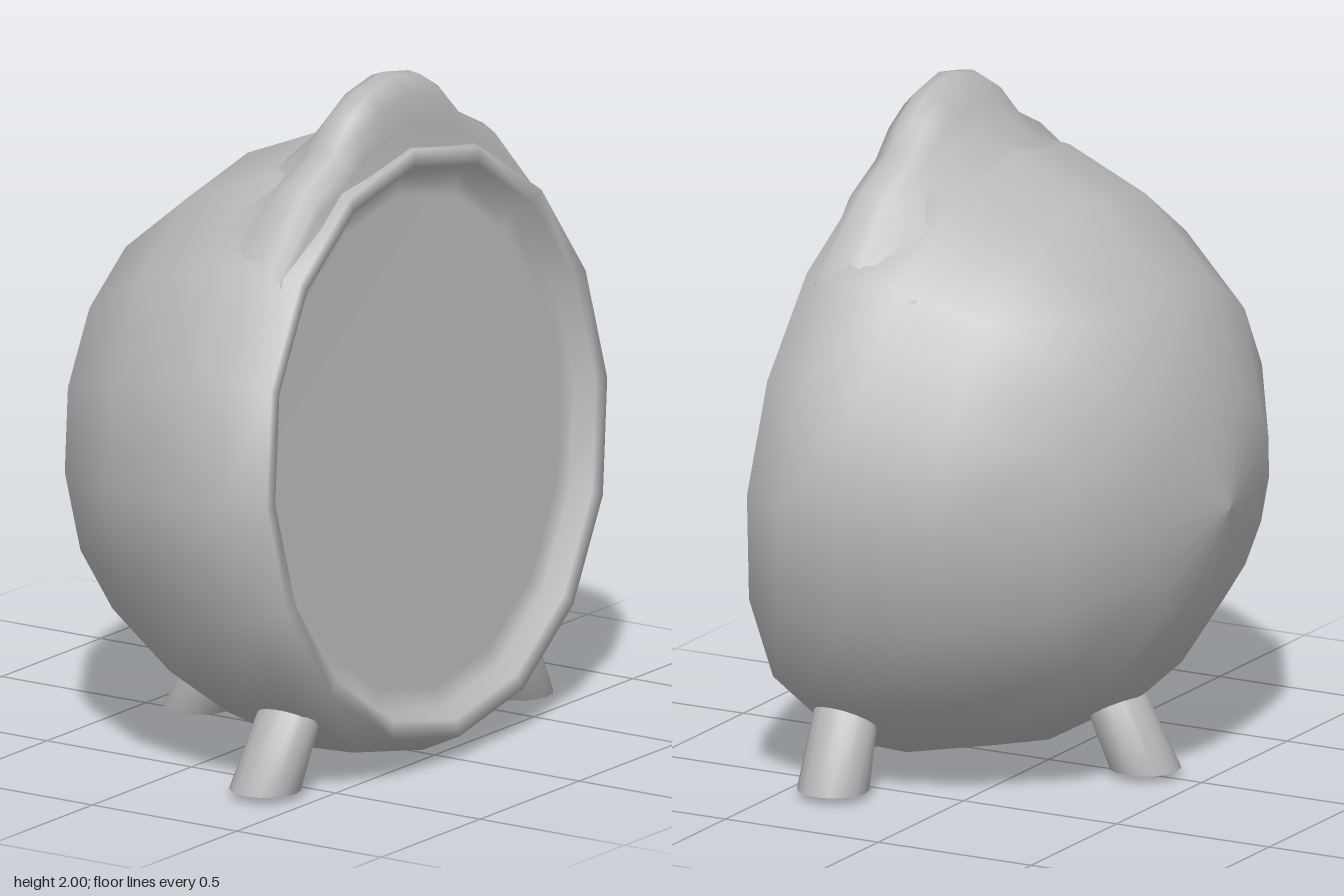
import * as THREE from 'three';
import { mergeVertices } from 'three/addons/utils/BufferGeometryUtils.js';

const grey = new THREE.MeshStandardMaterial({ color: 0xbababa });
grey.name = 'plain grey';

function part(name, geometry, parent) {
  const mesh = new THREE.Mesh(geometry, grey);
  mesh.name = name;
  parent.add(mesh);
  return mesh;
}

// Slanted round leg with level ends and soft shading, from foot to a point inside the shell
function leg(name, foot, top, parent) {
  const height = top[1] - foot[1];
  const solid = new THREE.CylinderGeometry(0.09, 0.104, height, 16);
  solid.deleteAttribute('normal');
  solid.deleteAttribute('uv');
  const geometry = mergeVertices(solid);
  const p = geometry.attributes.position;
  for (let i = 0; i < p.count; i++) {
    const t = p.getY(i) / height + 0.5;
    p.setXYZ(i,
      p.getX(i) + foot[0] + (top[0] - foot[0]) * t,
      foot[1] + height * t,
      p.getZ(i) + foot[2] + (top[2] - foot[2]) * t);
  }
  geometry.computeVertexNormals();
  return part(name, geometry, parent);
}

// Solid ridge-like handle that swells out of the shell: one cross-section scaled along z
function handleGeometry() {
  const section = [ // [x, share of the height]
    [0.08, 0], [0.2, 0.45], [0.24, 0.7], [0.28, 0.93], [0.32, 1],
    [0.36, 0.98], [0.4, 0.8], [0.405, 0.4], [0.42, 0.02],
  ];
  const half = [ // [z, base y, top y]
    [0, 1.76, 2], [0.13, 1.735, 1.975], [0.22, 1.715, 1.92],
    [0.3, 1.69, 1.83], [0.45, 1.63, 1.755], [0.64, 1.5, 1.54],
  ];
  const stations = [
    ...half.slice(1).reverse().map(([z, base, top]) => [-z, base, top]),
    ...half,
  ];
  const positions = [];
  const index = [];
  const n = section.length;
  stations.forEach(([z, base, top], j) => {
    section.forEach(([x, share], i) => {
      positions.push(x, base + (top - base) * share, z);
      if (j < stations.length - 1 && i < n - 1) {
        const a = j * n + i;
        index.push(a, a + n, a + 1, a + 1, a + n, a + n + 1);
      }
    });
  });
  const geometry = new THREE.BufferGeometry();
  geometry.setAttribute('position', new THREE.Float32BufferAttribute(positions, 3));
  geometry.setIndex(index);
  geometry.computeVertexNormals();
  return geometry;
}

export function createModel() {
  const model = new THREE.Group();
  model.name = 'roundBody';

  // Domed shell, rolled rim and flat recessed face in one turned profile: [radius, distance from rim]
  const profile = [
    [0, -1.105], [0.34, -1.043], [0.623, -0.866], [0.816, -0.584], [0.9, -0.31],
    [0.907, -0.13], [0.86, 0], [0.81, -0.005], [0.785, -0.065], [0.72, -0.07], [0, -0.07],
  ].map(([r, y]) => new THREE.Vector2(r, y));
  const shell = part('shell', new THREE.LatheGeometry(profile, 16), model);
  shell.position.set(0.508, 0.928, 0);
  shell.rotation.z = -THREE.MathUtils.degToRad(84.8);

  part('handle', handleGeometry(), model);

  // Three splayed legs
  for (const side of [1, -1]) {
    leg(side > 0 ? 'frontLegLeft' : 'frontLegRight',
      [0.35, 0.025, side * 0.637], [0.37, 0.3, side * 0.5], model);
  }
  leg('backLeg', [-0.315, 0.025, 0], [-0.175, 0.3, 0], model);

  return model;
}
